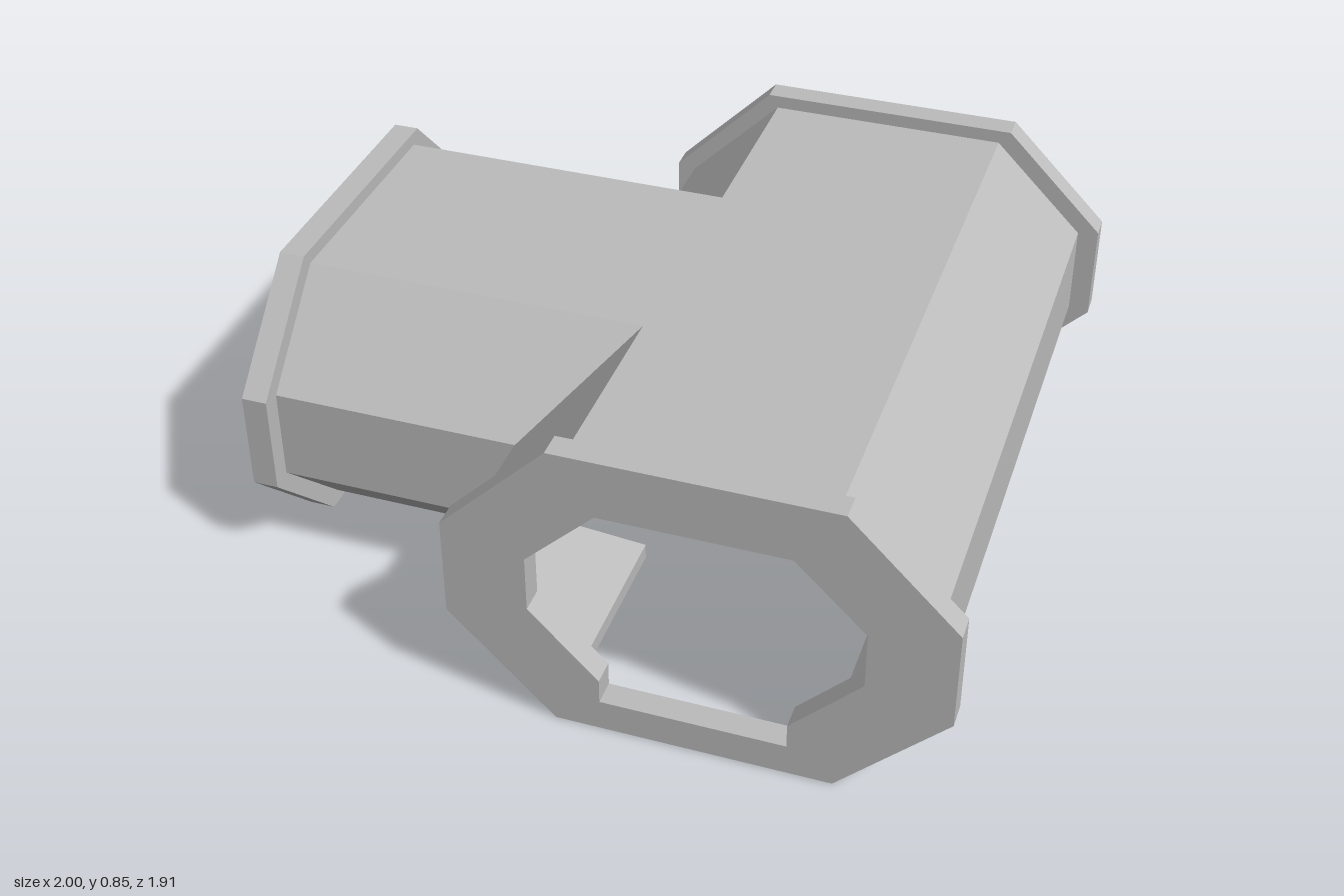
import * as THREE from 'three';

const CX = 0.345;        // centre line of the main corridor
const MAIN_END = 0.885;  // where the main skin meets its flanges
const BRANCH_END = -0.93;

// Closed outline, symmetric in u, from its +u half listed bottom to top
function symmetric(half, Type) {
  const points = [...half, ...half.map(([u, y]) => [-u, y]).reverse()];
  return new Type(points.map(([u, y]) => new THREE.Vector2(u, y)));
}

// End flange with octagonal doorway and a notch for the floor
function flangeGeometry(from, to) {
  const shape = symmetric([[0.365, 0], [0.65, 0.288], [0.65, 0.568], [0.365, 0.853]], THREE.Shape);
  shape.holes.push(symmetric(
    [[0.245, 0.09], [0.245, 0.16], [0.43, 0.35], [0.43, 0.51], [0.245, 0.69]], THREE.Path));
  return new THREE.ExtrudeGeometry(shape, { depth: to - from, bevelEnabled: false }).translate(0, 0, from);
}

// Half section of the thin shell as [distance from centre line, y]:
// down the outside, across the rim of the open floor, up the inside
const SECTION = [[0.335, 0.815], [0.595, 0.557], [0.595, 0.298], [0.335, 0.04],
  [0.335, 0.085], [0.56, 0.313], [0.56, 0.542], [0.32, 0.78]];

// Collects quads into a flat-shaded geometry
function quadGeometry(fill) {
  const pos = [];
  fill((a, b, c, d) => pos.push(...a, ...b, ...c, ...a, ...c, ...d));
  const geo = new THREE.BufferGeometry();
  geo.setAttribute('position', new THREE.Float32BufferAttribute(pos, 3));
  geo.computeVertexNormals();
  return geo;
}

// Calls back with each neighbouring pair of section points
function eachStrip(callback) {
  for (let i = 0; i < SECTION.length - 1; i++) callback(SECTION[i], SECTION[i + 1]);
}

// Unbroken wall on the +x side
function longWallGeometry() {
  return quadGeometry((quad) => eachStrip(([u, y], [v, w]) => quad(
    [CX + u, y, MAIN_END], [CX + v, w, MAIN_END], [CX + v, w, -MAIN_END], [CX + u, y, -MAIN_END])));
}

// Wall that turns from the main corridor into the branch with a mitre; s = 1 front, -1 back
function cornerWallGeometry(s) {
  return quadGeometry((quad) => eachStrip(([u, y], [v, w]) => {
    const m = [CX - u, y, u * s], n = [CX - v, w, v * s];
    const main = [m, n, [CX - v, w, MAIN_END * s], [CX - u, y, MAIN_END * s]];
    const branch = [m, [BRANCH_END, y, u * s], [BRANCH_END, w, v * s], n];
    for (const face of [main, branch]) quad(...(s > 0 ? face : face.reverse()));
  }));
}

// T-shaped flat face, either roof (facing up) or ceiling (facing down)
function flatGeometry([u, y], up) {
  return quadGeometry((quad) => {
    for (const [x0, x1, z] of [[CX - u, CX + u, MAIN_END], [BRANCH_END, CX - u, u]]) {
      const face = [[x0, y, -z], [x0, y, z], [x1, y, z], [x1, y, -z]];
      quad(...(up ? face : face.reverse()));
    }
  });
}

export function createModel() {
  const model = new THREE.Group();
  model.name = 'corridorJunction';
  const grey = new THREE.MeshStandardMaterial({ color: 0xbcbcbc });
  grey.name = 'hullGrey';

  const add = (name, geo) => {
    const mesh = new THREE.Mesh(geo, grey);
    mesh.name = name;
    model.add(mesh);
    return mesh;
  };

  // Thin shell, open along the floor
  add('roof', flatGeometry(SECTION[0], true));
  add('ceiling', flatGeometry(SECTION[SECTION.length - 1], false));
  add('longWall', longWallGeometry());
  add('frontCornerWall', cornerWallGeometry(1));
  add('backCornerWall', cornerWallGeometry(-1));

  // Flanges on the three open ends
  add('frontFlange', flangeGeometry(MAIN_END, 0.955)).position.x = CX + 0.003;
  add('backFlange', flangeGeometry(-0.955, -MAIN_END)).position.x = CX + 0.003;
  add('branchFlange', flangeGeometry(-BRANCH_END, 1)).rotation.y = -Math.PI / 2;

  return model;
}
